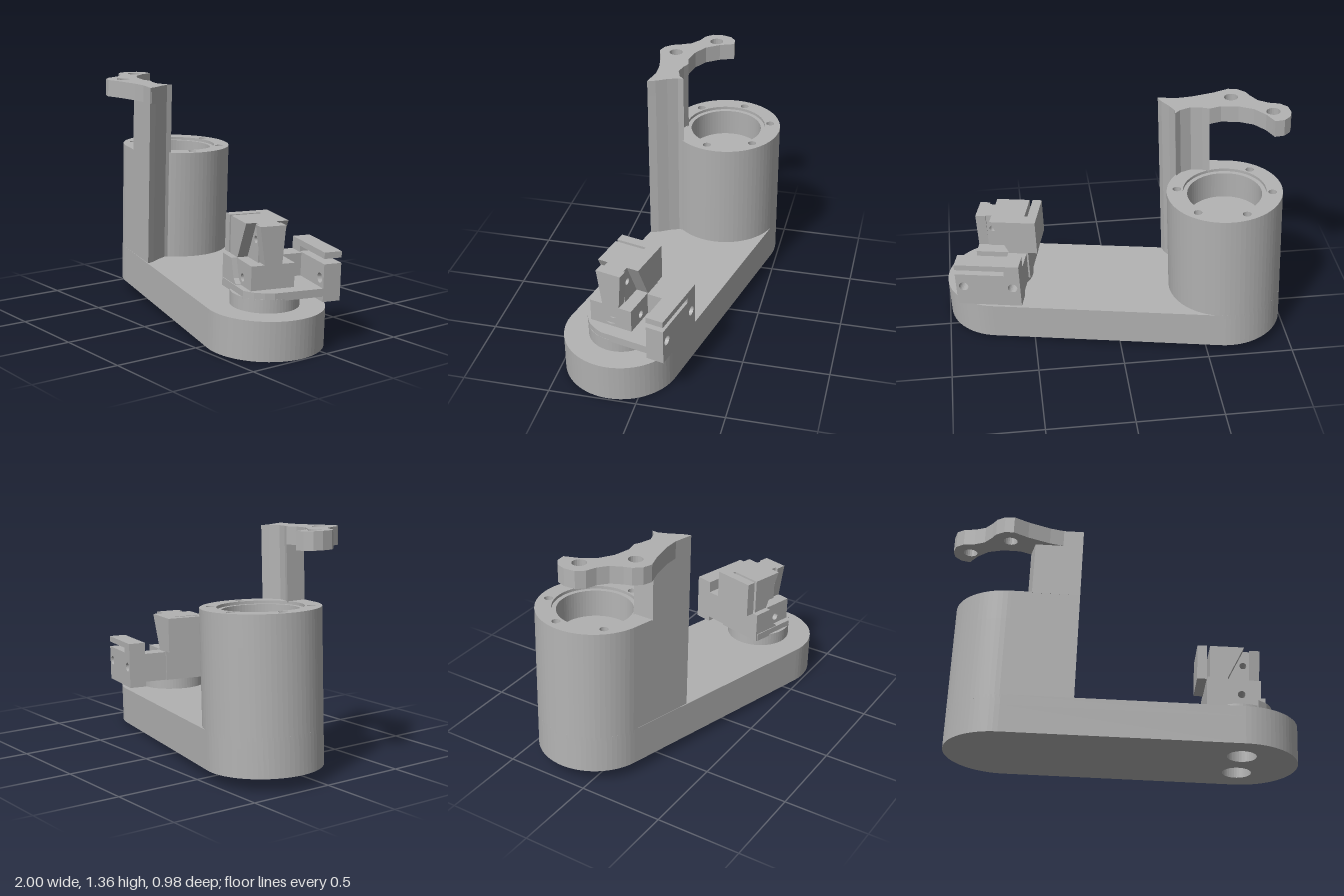
import * as THREE from 'three';

const steel = new THREE.MeshStandardMaterial({ color: 0xb2b2b2 });
steel.name = 'plain grey';

const YAW = 0.241, TILT = -0.0405;
const C = Math.cos(YAW), S = Math.sin(YAW);
const TX = -0.65, TZ = -0.16, EX = 0.66, EZ = 0.16, R = 0.33;

function addMesh(group, name, geo) {
  const m = new THREE.Mesh(geo, steel);
  m.name = name;
  group.add(m);
  return m;
}

// holes are [a, b, radius]
function makeShape(points, holes = []) {
  const s = points instanceof THREE.Shape ? points : new THREE.Shape(points.map(([a, b]) => new THREE.Vector2(a, b)));
  for (const [a, b, r] of holes) s.holes.push(new THREE.Path().absarc(a, b, r, 0, Math.PI * 2, true));
  return s;
}
const extrude = (shape, depth, seg = 10) =>
  new THREE.ExtrudeGeometry(shape, { depth, bevelEnabled: false, curveSegments: seg });

// plan outline in (x, z), raised from y0 to y1
function plan(points, y0, y1, holes = [], seg = 10) {
  const flip = points instanceof THREE.Shape ? points : points.map(([x, z]) => [x, -z]);
  const g = extrude(makeShape(flip, holes.map(([x, z, r]) => [x, -z, r])), y1 - y0, seg);
  return g.rotateX(-Math.PI / 2).translate(0, y0, 0);
}
// side outline in (x, y), running from z0 to z1
const along = (points, z0, z1, holes) => extrude(makeShape(points, holes), z1 - z0).translate(0, 0, z0);
// end outline in (z, y), running from x0 to x1
function across(points, x0, x1, holes = []) {
  const g = extrude(makeShape(points.map(([z, y]) => [-z, y]), holes.map(([z, y, r]) => [-z, y, r])), x1 - x0);
  return g.rotateY(Math.PI / 2).translate(x0, 0, 0);
}
const rect = (a0, a1, b0, b1) => [[a0, b0], [a1, b0], [a1, b1], [a0, b1]];
function disc(x, z, r) {
  const s = new THREE.Shape();
  s.absarc(x, -z, r, 0, Math.PI * 2, false);
  return s;
}
// rounded-end slab joining the tower and the tool end
function stadium() {
  const s = new THREE.Shape();
  s.absarc(EX, -EZ, R, -YAW - Math.PI / 2, -YAW + Math.PI / 2, false);
  s.absarc(TX, -TZ, R, -YAW + Math.PI / 2, -YAW + Math.PI * 1.5, false);
  return s;
}

function buildBase(g) {
  const sockets = [-0.13, 0.13].map(v => [EX - S * v, EZ + C * v, 0.083]);
  addMesh(g, 'base underside', plan(stadium(), 0, 0.16, sockets, 18));
  addMesh(g, 'base deck', plan(stadium(), 0.16, 0.22, [], 18));
}

function buildTower(g) {
  const screws = [];
  for (let i = 0; i < 6; i++) {
    const a = YAW + i * Math.PI / 3;
    if (i !== 1) screws.push([TX + 0.272 * Math.cos(a), TZ + 0.272 * Math.sin(a), 0.024]);
  }
  addMesh(g, 'tower body', plan(disc(TX, TZ, R), 0.2, 0.69, [], 36));
  addMesh(g, 'tower bore wall', plan(disc(TX, TZ, R), 0.69, 0.85, [[TX, TZ, 0.213], ...screws], 36));
  addMesh(g, 'tower rim', plan(disc(TX, TZ, R), 0.85, 0.867, [[TX, TZ, 0.238], ...screws], 36));

  // post blending into the tower wall, concave on its outer side
  const hollow = [[-0.336, 0.252], [-0.35, 0.205], [-0.384, 0.144], [-0.408, 0.085], [-0.406, 0.05]];
  addMesh(g, 'post foot', plan([[-0.729, 0.16], ...hollow, [-0.438, 0.08], [-0.502, 0.102], [-0.6, 0.1]], 0.2, 0.867));
  addMesh(g, 'post', plan([[-0.605, 0.19], ...hollow, [-0.438, 0.08], [-0.502, 0.102], [-0.566, 0.085],
    [-0.605, 0.066]], 0.86, 1.28));
}

function buildArm(g) {
  const outline = [
    [-0.935, -0.147], [-0.99, -0.143], [-1.03, -0.11], [-1.047, -0.06], [-1.042, 0.005], [-1.005, 0.048],
    [-0.946, 0.07], [-0.892, 0.112], [-0.86, 0.176], [-0.845, 0.22], [-0.805, 0.263], [-0.753, 0.28],
    [-0.662, 0.251], [-0.529, 0.228], [-0.438, 0.226], [-0.336, 0.245],
    [-0.35, 0.205], [-0.384, 0.144], [-0.408, 0.085], [-0.406, 0.05], [-0.438, 0.08], [-0.502, 0.102],
    [-0.566, 0.085], [-0.605, 0.066], [-0.673, 0.08], [-0.77, 0.059], [-0.85, 0.011], [-0.903, -0.064], [-0.925, -0.12],
  ];
  addMesh(g, 'top arm', plan(outline, 1.18, 1.28, [[-0.95, -0.035, 0.04], [-0.75, 0.176, 0.04]]));
}

// tool holder, in axes aligned with the base
function buildHolder(g) {
  addMesh(g, 'pivot disc', plan(disc(0, 0, 0.19), 0.21, 0.295, [], 32));
  addMesh(g, 'holder floor', plan([[-0.19, -0.27], [0.188, -0.27], [0.188, 0.03], [0.17, 0.08], [0.14, 0.13],
    [0.09, 0.17], [-0.19, 0.17]], 0.285, 0.33));

  // rear clamp with an open slot under its top flange
  addMesh(g, 'rear clamp', along([[-0.19, 0.255], [0.19, 0.255], [0.19, 0.465], [-0.1, 0.465], [-0.1, 0.495],
    [0.19, 0.495], [0.19, 0.53], [-0.19, 0.53]], -0.358, -0.255, [[0.145, 0.38, 0.028], [-0.145, 0.38, 0.028]]));
  addMesh(g, 'clamp bridge', plan(rect(-0.19, -0.08, -0.26, -0.11), 0.29, 0.46));

  // lower block: forward left half with a slanted edge, recessed right half
  addMesh(g, 'lower block left', along([[-0.2, 0.285], [0.0, 0.285], [-0.02, 0.335], [-0.05, 0.36],
    [-0.085, 0.465], [-0.2, 0.465]], -0.12, 0.165));
  addMesh(g, 'lower block middle', along([[-0.05, 0.325], [0.04, 0.325], [0.04, 0.465], [-0.1, 0.465], [-0.1, 0.36]],
    -0.12, 0.135, [[0.0, 0.375, 0.022]]));
  const lower = rect(-0.12, 0.135, 0.325, 0.465);
  const lowerHole = [0.01, 0.388];
  addMesh(g, 'lower block end', across(lower, 0.04, 0.085, [[...lowerHole, 0.025]]));
  addMesh(g, 'lower block face', across(lower, 0.085, 0.11, [[...lowerHole, 0.045]]));

  // upper block: slit jaw on the left
  addMesh(g, 'jaw outer', along(rect(-0.255, -0.2, 0.465, 0.676), -0.12, 0.13));
  addMesh(g, 'jaw bridge', along(rect(-0.2, -0.18, 0.465, 0.676), -0.12, -0.05));
  addMesh(g, 'jaw inner', along([[-0.182, 0.465], [-0.085, 0.465], [0.015, 0.676], [-0.182, 0.676]], -0.12, 0.13));

  // upper column with countersunk end
  addMesh(g, 'upper column', along([[-0.1, 0.465], [0.05, 0.465], [0.05, 0.676], [0.0, 0.676]],
    -0.05, 0.07, [[0.015, 0.585, 0.02]]));
  const upper = [[-0.045, 0.465], [0.058, 0.465], [0.09, 0.676], [-0.06, 0.676]];
  const upperHole = [0.01, 0.59];
  addMesh(g, 'column end', across(upper, 0.05, 0.085, [[...upperHole, 0.025]]));
  addMesh(g, 'column face', across(upper, 0.085, 0.11, [[...upperHole, 0.045]]));
}

export function createModel() {
  const model = new THREE.Group();
  model.name = 'bracket arm';
  const tilted = new THREE.Group();
  tilted.name = 'tilted body';
  tilted.rotation.z = TILT;
  tilted.position.y = 0.04;
  model.add(tilted);

  buildBase(tilted);
  buildTower(tilted);
  buildArm(tilted);

  const holder = new THREE.Group();
  holder.name = 'tool holder';
  holder.position.set(EX, 0, EZ);
  holder.rotation.y = -YAW;
  tilted.add(holder);
  buildHolder(holder);
  return model;
}
